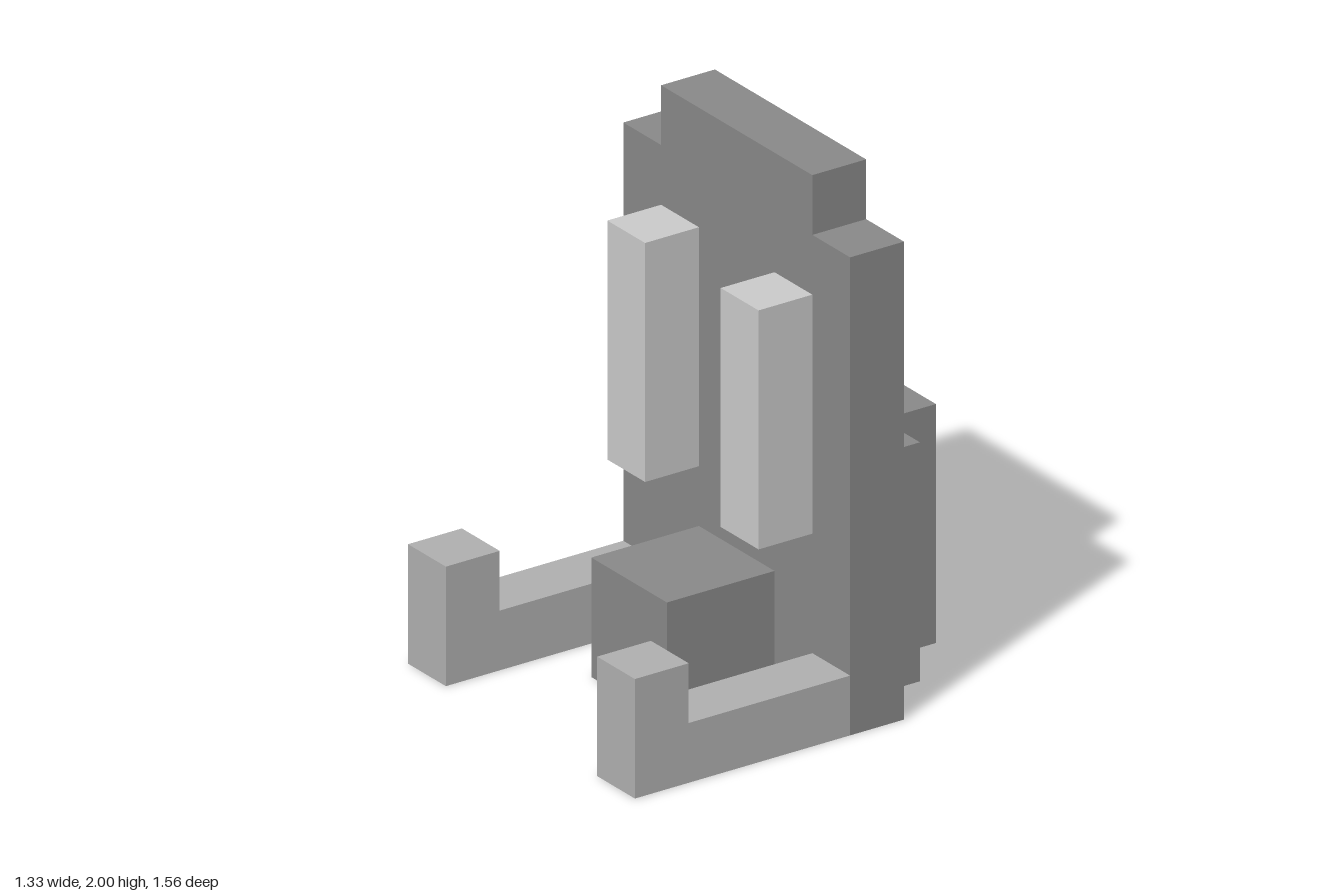
import * as THREE from 'three';

const U = 2 / 9; // one grid cell

const mat = (name, color) => {
  const m = new THREE.MeshStandardMaterial({ color });
  m.name = name;
  return m;
};

// Extrudes a stepped outline given in cells along +z
function extrude(points, depth) {
  const shape = new THREE.Shape(points.map(([x, y]) => new THREE.Vector2(x * U, y * U)));
  return new THREE.ExtrudeGeometry(shape, { depth: depth * U, bevelEnabled: false });
}

// Box given by its minimum and maximum corners in cells
function box(x0, x1, y0, y1, z0, z1) {
  return new THREE.BoxGeometry((x1 - x0) * U, (y1 - y0) * U, (z1 - z0) * U)
    .translate((x0 + x1) * U / 2, (y0 + y1) * U / 2, (z0 + z1) * U / 2);
}

export function createModel() {
  const group = new THREE.Group();
  const dark = mat('dark grey', 0x888888);
  const mid = mat('mid grey', 0xafafaf);
  const light = mat('light grey', 0xc9c9c9);

  const add = (name, geometry, material) => {
    const mesh = new THREE.Mesh(geometry, material);
    mesh.name = name;
    group.add(mesh);
  };

  // Upright slab with notched top corners
  const slab = [[-3, 0], [3, 0], [3, 8], [2, 8], [2, 9], [-2, 9], [-2, 8], [-3, 8]];
  add('backSlab', extrude(slab, 1).translate(0, 0, -1.5 * U), dark);

  // Stepped buttress behind: T-shaped plan, plus the taller centre column
  const plan = [[-2, 1.5], [-2, 2.5], [-1, 2.5], [-1, 3.5], [1, 3.5], [1, 2.5], [2, 2.5], [2, 1.5]];
  add('rearBase', extrude(plan, 4).rotateX(-Math.PI / 2), dark);
  add('rearColumn', box(-1, 1, 4, 7, -2.5, -1.5), dark);

  // Block at the front
  add('frontBlock', box(-1, 1, 0, 2, -0.5, 1.5), dark);

  // Mirrored bars and L-shaped arms with raised tips
  const arm = [[-0.5, 0], [3.5, 0], [3.5, 2], [2.5, 2], [2.5, 1], [-0.5, 1]];
  for (const [side, s] of [['left', 1], ['right', -1]]) {
    add(side + 'Bar', box(s * 1.5 - 0.5, s * 1.5 + 0.5, 3, 7, -0.5, 0.5), light);
    const geometry = extrude(arm, 1).rotateY(-Math.PI / 2);
    add(side + 'Arm', geometry.translate((s * 2.5 + 0.5) * U, 0, 0), mid);
  }
  return group;
}
